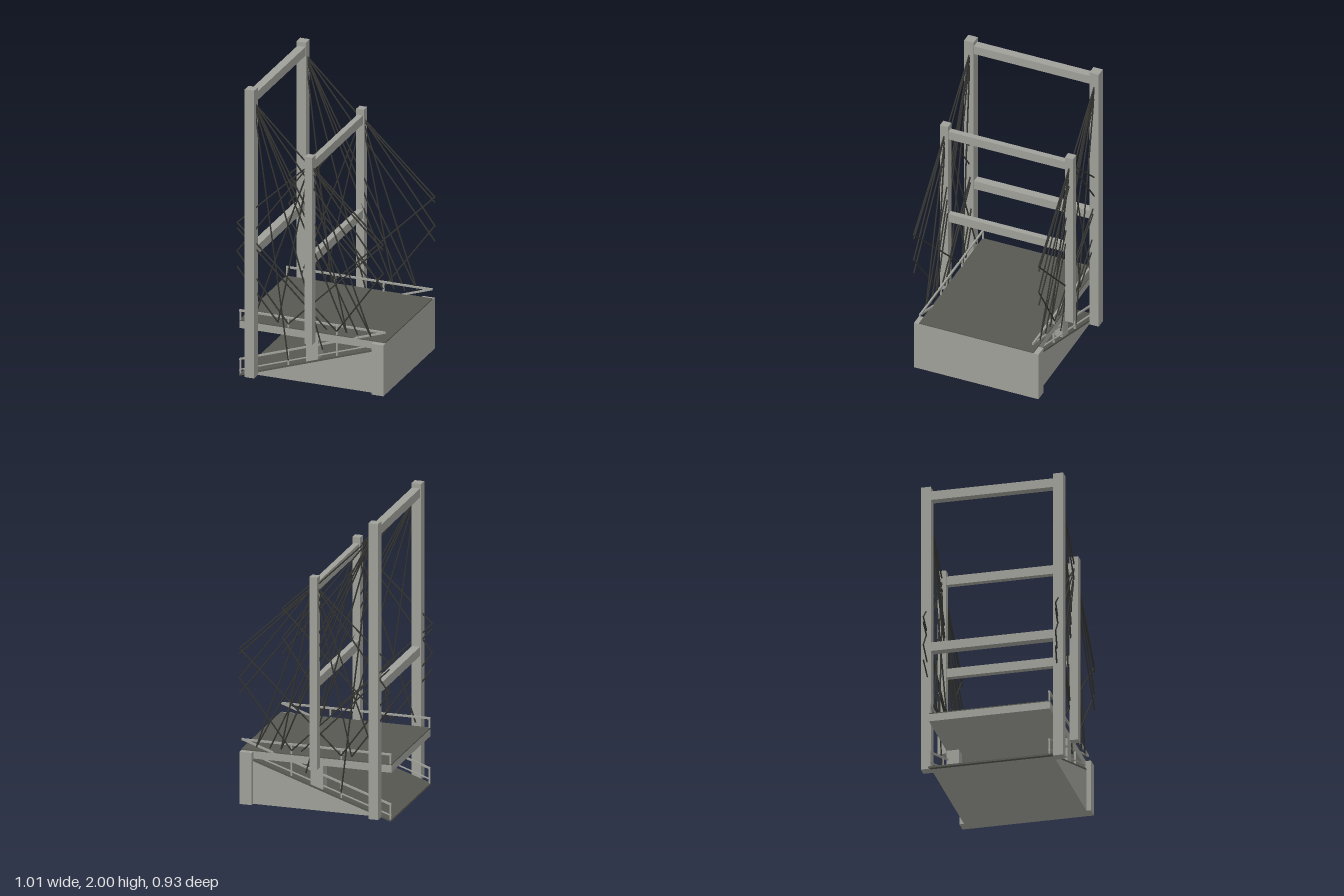
import * as THREE from 'three';

export function createModel() {
  const model = new THREE.Group();
  const concrete = new THREE.MeshStandardMaterial({ name: 'concrete grey', color: 0xa0a09a });
  const asphalt = new THREE.MeshStandardMaterial({ name: 'asphalt dark grey', color: 0x585852 });
  const steel = new THREE.MeshStandardMaterial({ name: 'cable charcoal', color: 0x353532 });

  const add = (name, geometry, material) => {
    const mesh = new THREE.Mesh(geometry, material);
    mesh.name = name;
    model.add(mesh);
    return mesh;
  };
  // Box given by its lower and upper limits on each axis
  const box = (name, [x0, x1], [y0, y1], [z0, z1], material = concrete) => {
    const mesh = add(name, new THREE.BoxGeometry(x1 - x0, y1 - y0, z1 - z0), material);
    mesh.position.set((x0 + x1) / 2, (y0 + y1) / 2, (z0 + z1) / 2);
    return mesh;
  };
  // Side outline extruded evenly about z = 0
  const prism = (name, points, halfWidth, material) => {
    const shape = new THREE.Shape(points.map(([x, y]) => new THREE.Vector2(x, y)));
    const geometry = new THREE.ExtrudeGeometry(shape, { depth: halfWidth * 2, bevelEnabled: false });
    geometry.translate(0, 0, -halfWidth);
    return add(name, geometry, material);
  };
  const up = new THREE.Vector3(0, 1, 0);
  const rod = (name, a, b, radius, sides, material) => {
    const from = new THREE.Vector3(...a), to = new THREE.Vector3(...b);
    const dir = to.clone().sub(from);
    const mesh = add(name, new THREE.CylinderGeometry(radius, radius, dir.length(), sides), material);
    mesh.position.copy(from).add(to).multiplyScalar(0.5);
    mesh.quaternion.setFromUnitVectors(up, dir.normalize());
  };
  const slope = 0.337;
  const rampY = (x) => 0.004 + slope * (x + 0.5);

  // Abutment block and sloping base
  box('abutment', [0.42, 0.5], [0.03, 0.378], [-0.43, 0.43]);
  prism('rampBase', [[-0.423, 0.03], [0.42, 0.03], [0.42, rampY(0.42)]], 0.4, concrete);

  // Sloping lower road
  prism('lowerRoad', [[-0.5, rampY(-0.5)], [0.42, rampY(0.42)],
    [0.42, rampY(0.42) + 0.012], [-0.5, rampY(-0.5) + 0.012]], 0.4, asphalt);

  // Level upper road
  box('upperDeck', [-0.5, 0.5], [0.33, 0.38], [-0.395, 0.395]);
  box('upperRoad', [-0.5, 0.5], [0.38, 0.387], [-0.395, 0.395], asphalt);

  // Towers: two posts each, with two cross beams
  const towers = [
    { name: 'tallTower', x: [-0.435, -0.37], y: [0.03, 2], z: [0.4, 0.465], beamX: [-0.428, -0.373], beamTop: 1.97 },
    { name: 'shortTower', x: [-0.027, 0.025], y: [0.32, 1.6], z: [0.404, 0.46], beamX: [-0.02, 0.018], beamTop: 1.56 },
  ];
  for (const t of towers) {
    box(t.name + 'LeftPost', t.x, t.y, t.z);
    box(t.name + 'RightPost', t.x, t.y, [-t.z[1], -t.z[0]]);
    for (const top of [t.beamTop, 0.915])
      box(t.name + 'CrossBeam', t.beamX, [top - 0.06, top], [-t.z[0], t.z[0]]);
  }

  // Cables in the plane of each side: [x, y] start, [x, y] end, end at deck or at span edge
  const tall = [-0.385, 1.905], short = [0, 1.54];
  const cables = [
    [tall, [0.5, 1.03], 0.432], [tall, [0.5, 0.765], 0.432],
    [tall, [0.31, 0.41]], [tall, [0.235, 0.41]], [tall, [0.07, 0.27]],
    [tall, [-0.165, 0.16]], [tall, [0.4, 0.41]],
    [[-0.5, 1.03], [0.1, 0.41]], [[-0.5, 0.765], [-0.235, 0.41]],
  ];
  for (const m of [1, -1]) {
    cables.push(
      [short, [m * 0.5, 1.066], 0.432], [short, [m * 0.5, 0.87], 0.432],
      [short, [m * 0.4, 0.41]], [short, [m * 0.235, 0.41]],
      [[m * 0.5, 1.066], [-m * 0.165, 0.41]], [[m * 0.5, 0.87], [m * 0.165, 0.41]],
    );
  }

  for (const s of [1, -1]) {
    for (const [a, b, endZ = 0.395] of cables)
      rod('cable', [...a, s * 0.432], [...b, s * endZ], 0.005, 6, steel);

    // Pier carrying the short tower between the roads
    const z = s * 0.355;
    box('pier', [-0.045, 0.04], [0.16, 0.335], [z - 0.04, z + 0.04]);

    // Railings: level above, sloping below
    const rz = [s * 0.39 - 0.006, s * 0.39 + 0.006];
    box('upperRail', [-0.5, 0.5], [0.443, 0.455], rz);
    for (const x of [-0.494, -0.165, 0.167]) {
      box('upperRailPost', [x - 0.005, x + 0.005], [0.385, 0.445], rz);
      box('lowerRailPost', [x - 0.005, x + 0.005], [rampY(x) + 0.01, rampY(x) + 0.107], rz);
    }
    for (const [name, h, thick, end] of [['lowerRail', 0.105, 0.012, 0.5], ['lowerCurbRail', 0.036, 0.006, 0.42]]) {
      const y0 = rampY(-0.5) + h, y1 = rampY(end) + h;
      prism(name, [[-0.5, y0], [end, y1], [end, y1 + thick], [-0.5, y0 + thick]], 0.006, concrete)
        .position.z = s * 0.39;
    }
  }
  return model;
}
